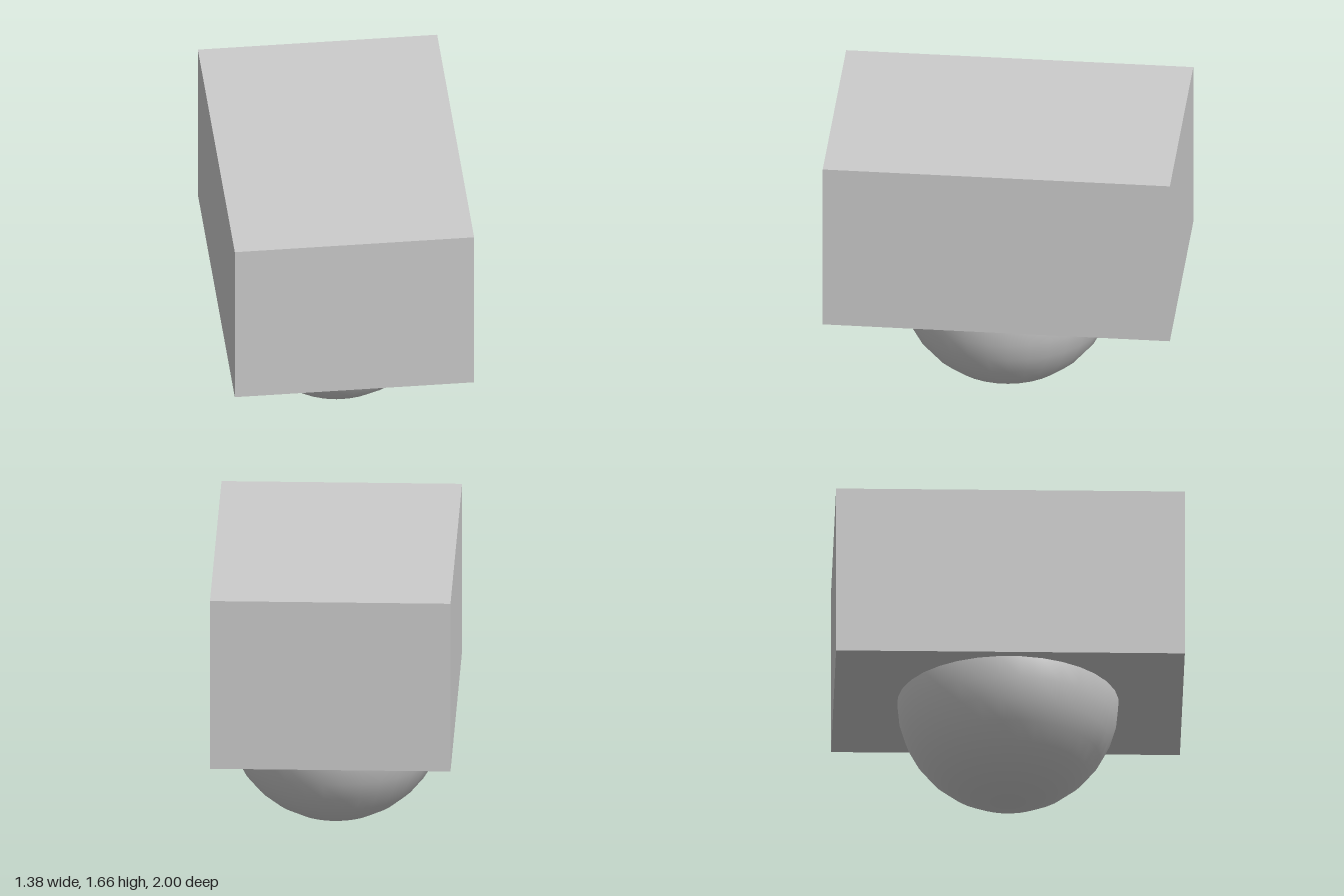
import * as THREE from 'three';

export function createModel() {
  const group = new THREE.Group();
  const material = new THREE.MeshStandardMaterial({ color: 0xcccccc });
  const baseY = 0.636, topY = 1.66;

  // Rectangular block on top
  const block = new THREE.Mesh(new THREE.BoxGeometry(1.38, topY - baseY, 2), material);
  block.name = 'block';
  block.position.y = (baseY + topY) / 2;
  group.add(block);

  // Smooth dome hanging below, its rim flush with the block's underside
  const dome = new THREE.Mesh(
    new THREE.SphereGeometry(baseY, 32, 8, 0, Math.PI * 2, Math.PI / 2, Math.PI / 2),
    material
  );
  dome.name = 'dome';
  dome.position.y = baseY;
  dome.rotation.y = Math.PI / 32;
  group.add(dome);

  return group;
}
